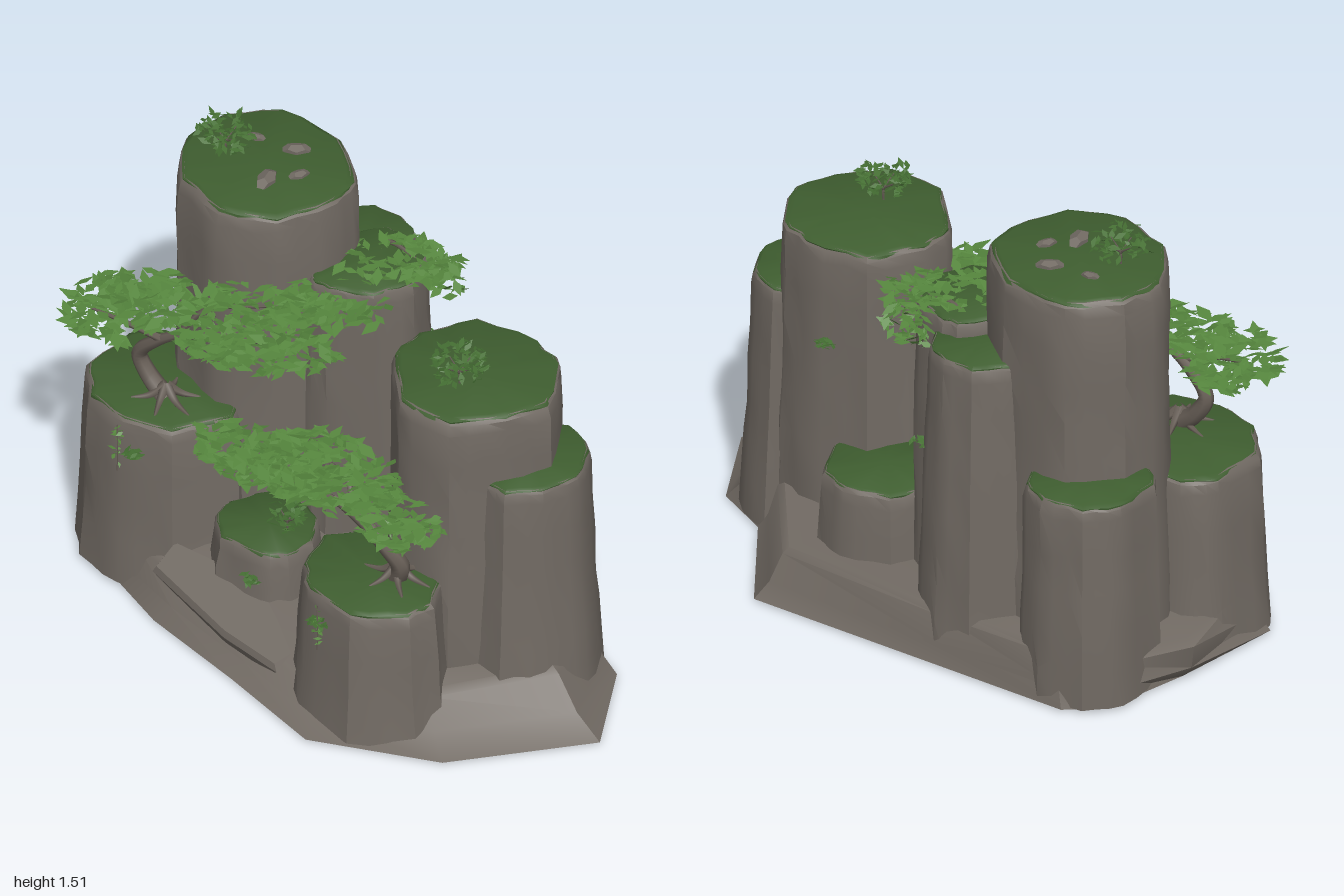
import * as THREE from 'three';
import { toCreasedNormals } from 'three/addons/utils/BufferGeometryUtils.js';

const mat = (name, color, double = false) => {
  const m = new THREE.MeshStandardMaterial({ color });
  m.name = name;
  if (double) m.side = THREE.DoubleSide;
  return m;
};

// Small seeded random generator
function seeded(seed) {
  let s = (seed * 7919 + 12345) % 2147483647;
  for (let i = 0; i < 5; i++) s = (s * 16807) % 2147483647;
  return () => (s = (s * 16807) % 2147483647) / 2147483647;
}

// Closed solid through a stack of rings, each an equal list of [x, y, z]
function loft(rings, crease = 0.5) {
  const n = rings[0].length, pos = rings.flat(2), idx = [];
  const centre = ring => [0, 1, 2].map(k => ring.reduce((s, p) => s + p[k], 0) / n);
  const last = rings.length - 1, c0 = n * rings.length, c1 = c0 + 1;
  pos.push(...centre(rings[0]), ...centre(rings[last]));
  for (let i = 0; i < n; i++) {
    const i2 = (i + 1) % n;
    for (let j = 0; j < last; j++) {
      const a = j * n + i, b = j * n + i2, c = b + n, d = a + n;
      idx.push(a, d, c, a, c, b);
    }
    idx.push(c0, i, i2, c1, last * n + i2, last * n + i);
  }
  const g = new THREE.BufferGeometry();
  g.setAttribute('position', new THREE.Float32BufferAttribute(pos, 3));
  g.setIndex(idx);
  return toCreasedNormals(g, crease);
}

// Tube that narrows from r0 to r1
function taperedTube(points, r0, r1, sides = 7) {
  const curve = new THREE.CatmullRomCurve3(points.map(p => new THREE.Vector3(...p)));
  const steps = points.length * 5;
  const g = new THREE.TubeGeometry(curve, steps, 1, sides, false);
  const p = g.attributes.position, v = new THREE.Vector3();
  for (let i = 0; i < p.count; i++) {
    const t = Math.floor(i / (sides + 1)) / steps, c = curve.getPointAt(t);
    v.fromBufferAttribute(p, i).sub(c).multiplyScalar(r0 + (r1 - r0) * t).add(c);
    p.setXYZ(i, v.x, v.y, v.z);
  }
  return g;
}

// Cloud of pointed leaves filling a flattened, turned ellipsoid
function leafCloud([cx, cy, cz], [rx, ry, rz], yaw, count, size, seed, tilt = 0.35) {
  const rand = seeded(seed), pos = [];
  const turn = new THREE.Matrix4().makeRotationY(yaw);
  for (let i = 0; i < count; i++) {
    const a = rand() * Math.PI * 2, r = Math.sqrt(rand());
    const h = (rand() * 2 - 1) * Math.sqrt(1 - r * r * 0.85);
    const c = new THREE.Vector3(Math.cos(a) * r * rx, h * ry, Math.sin(a) * r * rz).applyMatrix4(turn);
    c.add(new THREE.Vector3(cx, cy, cz));
    const e = new THREE.Euler((rand() * 2 - 1) * tilt, rand() * 6.28, (rand() * 2 - 1) * tilt, 'YXZ');
    const l = size * (0.7 + rand() * 0.6), w = l * 0.22;
    const [p, q, s, t] = [[-l / 2, 0, 0], [0, 0, w], [l / 2, 0, 0], [0, 0, -w]]
      .map(k => new THREE.Vector3(...k).applyEuler(e).add(c).toArray());
    pos.push(...p, ...q, ...s, ...p, ...s, ...t);
  }
  const g = new THREE.BufferGeometry();
  g.setAttribute('position', new THREE.Float32BufferAttribute(pos, 3));
  g.computeVertexNormals();
  return g;
}

export function createModel() {
  const rock = mat('rock', 0x716a63), grass = mat('grass', 0x3f5e30), bark = mat('bark', 0x685f57);
  const leaf = mat('leaf', 0x55853d, true), darkLeaf = mat('darkLeaf', 0x456f33, true);
  const model = new THREE.Group();
  const add = (name, geometry, material, parent = model) => {
    const m = new THREE.Mesh(geometry, material);
    m.name = name;
    parent.add(m);
    return m;
  };

  // Sloping rock base: bottom x, z, then inset and height of the upper edge
  const outline = [
    [-0.95, 0.02, 1.07, 0.16], [-0.93, -0.28, 0.98, 0.16], [-0.84, -0.39, 0.96, 0.2], [-0.4, -0.49, 0.95, 0.19],
    [0.28, -0.645, 0.88, 0.18], [0.58, -0.35, 0.92, 0.2], [0.78, -0.3, 0.9, 0.2], [1, -0.03, 0.83, 0.2],
    [0.75, 0.4, 0.8, 0.15], [0.38, 0.635, 0.82, 0.09], [0.0, 0.6, 0.84, 0.11], [-0.38, 0.58, 0.87, 0.15],
    [-0.6, 0.53, 0.93, 0.17], [-0.94, 0.4, 0.93, 0.17]];
  const baseRing = (scale, y) => outline.map(([x, z, s, h]) => {
    const k = scale(s);
    return [x * k, y(h), z * k];
  });
  add('base', loft([
    baseRing(() => 1, () => 0.015),
    baseRing(s => 1 + (s - 1) * 0.6, h => 0.015 + h * 0.3),
    baseRing(s => s * 0.985, h => h * 0.9),
    baseRing(s => s * 0.95, h => h),
    baseRing(s => s * 0.72, h => 0.12 + h * 0.4)], 0.6), rock);
  add('baseUnderside', loft([0.35, 0.8].map((s, j) => outline.map(([x, z]) => [x * s, 0.006 + j * 0.012, z * s]))), rock);

  // Tilted slab lying between the front pillars
  const slab = [[-0.45, 0.44], [-0.2, 0.36], [0.14, 0.4], [0.13, 0.53], [-0.08, 0.56], [-0.42, 0.55]].reverse();
  const slabRing = (s, y) => slab.map(([x, z]) => [-0.14 + (x + 0.14) * s, y - 0.17 * (x + 0.14) - 0.15 * (z - 0.46), 0.46 + (z - 0.46) * s]);
  add('frontLedge', loft([slabRing(0.86, 0.105), slabRing(1, 0.135), slabRing(0.95, 0.16)].map(r => r.reverse())), rock);

  // Rock pillars with grassy tops
  function pillar(name, x, z, rx, rz, h, seed, flare = 1.07) {
    const rand = seeded(seed), n = 9, sub = 3, spin = rand() * 0.7;
    const corners = Array.from({ length: n }, (_, i) => {
      const a = spin + ((i + (rand() - 0.5) * 0.45) / n) * Math.PI * 2, r = 0.95 + rand() * 0.12;
      return [Math.cos(a) * r * rx, Math.sin(a) * r * rz];
    });
    const edge = [];
    corners.forEach((c, i) => {
      const d = corners[(i + 1) % n];
      for (let k = 0; k < sub; k++) {
        const t = k / sub, dent = k ? 0.985 + rand() * 0.06 : 1;
        edge.push([(c[0] + (d[0] - c[0]) * t) * dent, (c[1] + (d[1] - c[1]) * t) * dent]);
      }
    });
    const ring = (s, y, rough = 0, dy = 0) => edge.map(([ex, ez]) => {
      const k = s + (rand() - 0.5) * rough;
      return [x + ex * k, y + (rand() - 0.5) * dy, z + ez * k];
    });
    const group = new THREE.Group();
    group.name = name;
    model.add(group);
    const rings = [], levels = Math.max(3, Math.round(h * 7));
    for (let j = 0; j < levels; j++) {
      const t = j / levels;
      const s = 1 + (flare - 1) * (1 - t) ** 1.2 + Math.sin(t * 7 + seed) * 0.012;
      rings.push(ring(s, 0.02 + t * (h - 0.07), j ? 0.028 : 0, j ? 0.05 : 0));
    }
    rings.push(ring(1, h - 0.05, 0.025, 0.015), ring(0.975, h - 0.014, 0.015, 0.008), ring(0.925, h));
    add('rockColumn', loft(rings, 0.6), rock, group);
    add('grassTop', loft([ring(0.95, h - 0.012, 0.035), ring(0.945, h - 0.003, 0.03), ring(0.88, h + 0.005)], 1), grass, group);
  }
  pillar('tallPillar', -0.545, -0.035, 0.292, 0.275, 1.382, 1, 1.06);
  pillar('frontRightPillar', -0.652, 0.285, 0.285, 0.232, 0.64, 2, 1.1);
  pillar('middlePillar', -0.205, -0.15, 0.175, 0.19, 1.14, 3, 1.06);
  pillar('backPillar', -0.355, -0.255, 0.175, 0.185, 1.085, 4, 1.22);
  pillar('sidePillar', -0.755, -0.18, 0.195, 0.205, 0.74, 5, 1.07);
  pillar('leftTallPillar', 0.4, -0.05, 0.272, 0.27, 1.113, 6, 1.07);
  pillar('leftSidePillar', 0.6, -0.1, 0.188, 0.21, 0.868, 7, 1.2);
  pillar('frontLeftPillar', 0.362, 0.345, 0.258, 0.203, 0.495, 8, 1.14);
  pillar('frontStep', -0.205, 0.26, 0.172, 0.165, 0.33, 9, 1.18);
  pillar('backStep', 0.1, -0.25, 0.205, 0.205, 0.425, 10, 1.12);

  // Loose stones on the tallest top
  [[-0.66, -0.1, 0.024, 0.4], [-0.53, -0.15, 0.036, 0.8], [-0.43, -0.07, 0.028, 1.3], [-0.48, 0.02, 0.042, 2]]
    .forEach(([x, z, r, a]) => {
      const s = add('stone', new THREE.DodecahedronGeometry(r), rock);
      s.position.set(x, 1.39, z);
      s.scale.set(1.3, 0.5, 0.75);
      s.rotation.y = a;
    });

  // Windswept trees: trunk, branches, spreading roots and flat leaf pads
  function tree(name, trunk, branches, pads, seed) {
    const group = new THREE.Group();
    group.name = name;
    model.add(group);
    add('trunk', taperedTube(trunk, 0.034, 0.014), bark, group);
    branches.forEach(b => add('branch', taperedTube(b, 0.014, 0.004, 5), bark, group));
    const [x, y, z] = trunk[0];
    for (let i = 0; i < 6; i++) {
      const c = Math.cos(i * 1.05 + seed), s = Math.sin(i * 1.05 + seed);
      add('root', taperedTube([[x, y + 0.05, z], [x + c * 0.05, y + 0.015, z + s * 0.05],
        [x + c * 0.12, y + 0.002, z + s * 0.1]], 0.018, 0.004, 5), bark, group);
    }
    pads.forEach(([c, r, yaw, count], i) => add('leafPad', leafCloud(c, r, yaw, count, 0.075, seed + i), leaf, group));
  }
  tree('upperTree',
    [[-0.59, 0.64, 0.34], [-0.66, 0.7, 0.35], [-0.69, 0.77, 0.36], [-0.62, 0.85, 0.35], [-0.54, 0.91, 0.33]],
    [[[-0.6, 0.87, 0.35], [-0.7, 0.9, 0.4], [-0.82, 0.91, 0.44]],
      [[-0.55, 0.9, 0.33], [-0.4, 0.95, 0.26], [-0.22, 0.96, 0.18]],
      [[-0.55, 0.9, 0.33], [-0.47, 1.02, 0.28], [-0.3, 1.08, 0.18]]],
    [[[-0.76, 0.92, 0.4], [0.15, 0.05, 0.17], 0.5, 150], [[-0.64, 1.0, 0.34], [0.16, 0.05, 0.12], 0.5, 110],
      [[-0.29, 0.97, 0.24], [0.26, 0.05, 0.12], 0.6, 220], [[-0.29, 1.1, 0.17], [0.21, 0.045, 0.11], 0.75, 160],
      [[-0.1, 1.1, 0.03], [0.13, 0.04, 0.08], 0.8, 65]], 20);
  tree('lowerTree',
    [[0.42, 0.495, 0.29], [0.445, 0.56, 0.3], [0.41, 0.63, 0.33], [0.33, 0.69, 0.35], [0.22, 0.73, 0.37]],
    [[[0.23, 0.725, 0.37], [0.1, 0.74, 0.41], [-0.08, 0.76, 0.44]],
      [[0.41, 0.63, 0.33], [0.46, 0.68, 0.31], [0.5, 0.71, 0.28]],
      [[0.3, 0.7, 0.36], [0.22, 0.78, 0.32], [0.12, 0.8, 0.32]]],
    [[[-0.04, 0.77, 0.45], [0.23, 0.08, 0.11], 0.25, 220], [[0.18, 0.8, 0.36], [0.24, 0.065, 0.17], 0.3, 270],
      [[0.43, 0.72, 0.29], [0.13, 0.06, 0.12], 0.4, 120]], 30);

  // Leaves leaning over the back between the pillars
  add('branch', taperedTube([[-0.3, 1.08, -0.25], [-0.22, 1.15, -0.26], [-0.1, 1.14, -0.27]], 0.012, 0.005, 5), bark);
  add('backLeafPad', leafCloud([-0.14, 1.145, -0.21], [0.21, 0.03, 0.12], 0.8, 170, 0.07, 40), leaf);
  add('hangingLeaves', leafCloud([-0.1, 1.06, -0.34], [0.1, 0.07, 0.06], 0, 80, 0.06, 41, 0.8), leaf);

  // Upright bushes on thin stems: x, ground, z, height, spread
  [[-0.67, 1.385, 0.02, 0.08, 0.09, 100], [0.42, 1.115, 0.03, 0.08, 0.09, 110], [-0.14, 0.33, 0.24, 0.06, 0.06, 60]]
    .forEach(([x, y, z, h, r, count], i) => {
      for (let k = 0; k < 4; k++) {
        const c = Math.cos(k * 1.57) * r * 0.5, s = Math.sin(k * 1.57) * r * 0.5;
        add('bushStem', taperedTube([[x, y, z], [x, y + h * 0.5, z], [x + c, y + h, z + s]], 0.004, 0.002, 4), bark);
      }
      add('bush', leafCloud([x, y + h, z], [r, 0.05, r], 0, count, 0.038, 50 + i, 0.6), darkLeaf);
    });

  // Small tufts clinging to the rock faces
  [[-0.53, 0.555, 0.53], [-0.11, 0.25, 0.42], [0.35, 0.42, 0.56], [-0.22, 0.72, -0.41], [0.3, 0.8, -0.33], [0.36, 0.62, 0.22]]
    .forEach((c, i) => add('tuft', leafCloud(c, [0.035, 0.012, 0.022], 0, 22, 0.035, 60 + i, 0.5), darkLeaf));

  // Trailing vines below the trees
  [[-0.61, 0.62, 0.525, 0.18], [0.35, 0.48, 0.56, 0.17], [-0.48, 1.05, 0.25, 0.25], [0.34, 0.72, 0.24, 0.18]]
    .forEach(([x, y, z, l], i) => {
      add('vine', taperedTube([[x, y, z], [x + 0.008, y - l / 2, z + 0.005], [x, y - l, z]], 0.003, 0.002, 4), bark);
      add('vineLeaves', leafCloud([x, y - l / 2, z], [0.02, l / 2, 0.012], 0, Math.round(l * 120), 0.028, 70 + i, 0.8), leaf);
    });

  return model;
}
